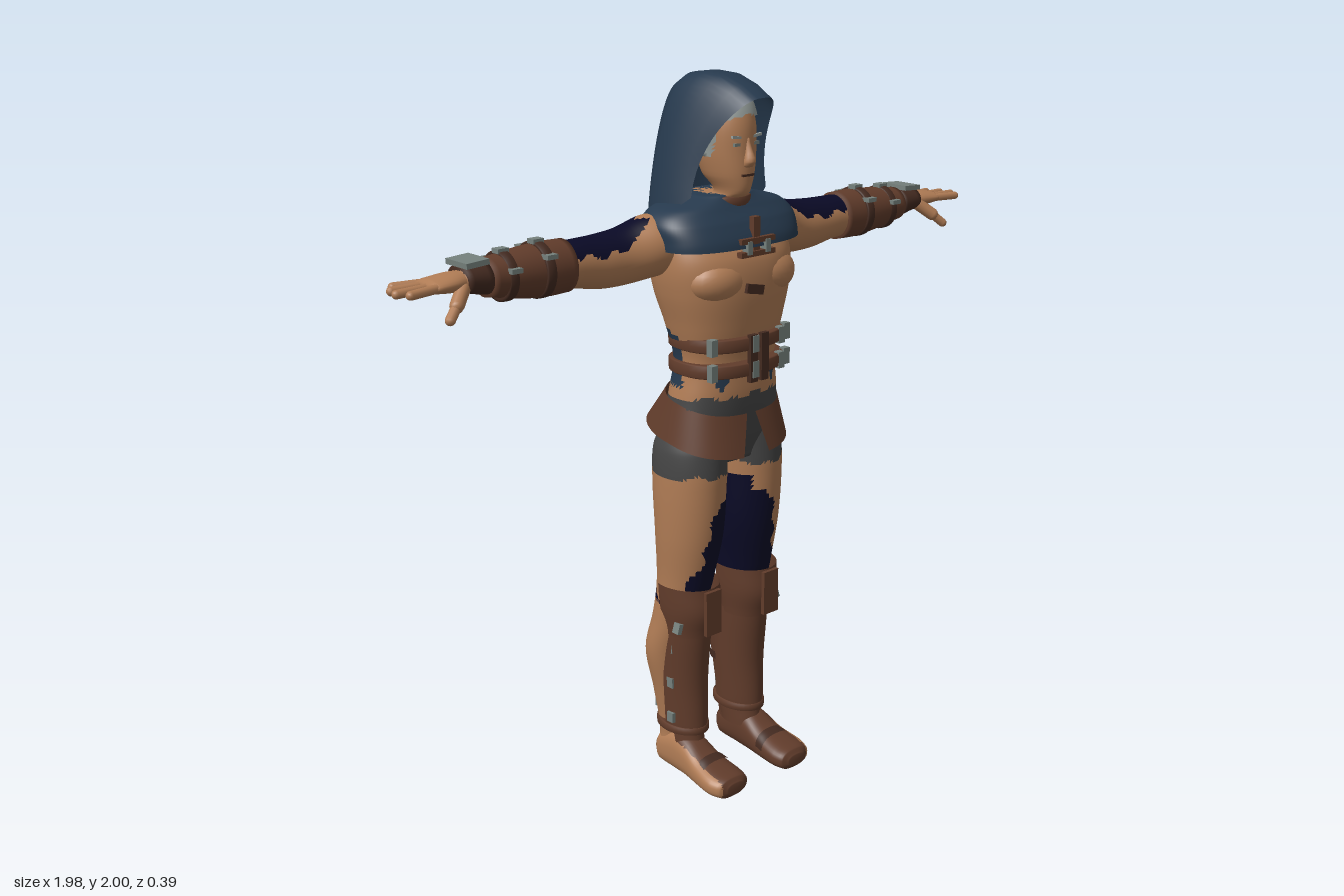
import * as THREE from 'three';

const mat = (name, color, side = THREE.FrontSide) => new THREE.MeshStandardMaterial({ name, color, side });
const skin = mat('skin', 0xb07c55);
const hoodBlue = mat('hood blue', 0x26394d, THREE.DoubleSide);
const indigo = mat('dark indigo', 0x0a0a26);
const leather = mat('leather', 0x613c2b, THREE.DoubleSide);
const darkLeather = mat('dark leather', 0x432a20);
const grey = mat('grey cloth', 0x454545);
const metal = mat('metal', 0x75807c);
const hairGrey = mat('hair grey', 0x939b98);

const ragged = (t) => Math.sin(t * 90) * 0.6 + Math.sin(t * 41 + 1) * 0.4;

// Triangles from a grid of points; pick(x, y, z) gives a material index, or -1 for a hole
function skinGrid(rows, closed, caps, pick) {
  const pos = rows.flat(2), n = rows[0].length, m = rows.length, lists = [];
  const tri = (a, b, c) => {
    const mid = [0, 1, 2].map((k) => (pos[a * 3 + k] + pos[b * 3 + k] + pos[c * 3 + k]) / 3);
    const k = pick ? pick(...mid) : 0;
    if (k >= 0) (lists[k] ??= []).push(a, b, c);
  };
  for (let i = 0; i < m - 1; i++) for (let j = 0; j < (closed ? n : n - 1); j++) {
    const a = i * n + j, b = i * n + (j + 1) % n;
    tri(a, a + n, b);
    tri(b, a + n, b + n);
  }
  if (caps) [0, m - 1].forEach((i) => {
    const c = pos.length / 3;
    pos.push(...[0, 1, 2].map((k) => rows[i].reduce((s, p) => s + p[k], 0) / n));
    for (let j = 0; j < n; j++) {
      const a = i * n + j, b = i * n + (j + 1) % n;
      i ? tri(c, b, a) : tri(c, a, b);
    }
  });
  const g = new THREE.BufferGeometry(), index = [];
  g.setAttribute('position', new THREE.Float32BufferAttribute(pos, 3));
  lists.forEach((l, k) => {
    g.addGroup(index.length, l.length, k);
    for (const v of l) index.push(v);
  });
  g.setIndex(index);
  g.computeVertexNormals();
  return g;
}

// Smooth loft through keys [t, c1, c2, r1, r2] along an axis (0 x, 1 y, 2 z)
function loft(keys, { axis = 1, n = 36, sub = 5, arc = null, pick = null, p = 2 } = {}) {
  const rows = [], last = keys.length - 1;
  const at = (i) => keys[Math.min(last, Math.max(0, i))];
  for (let s = 0; s <= last * sub; s++) {
    const i = Math.min(last - 1, Math.floor(s / sub)), f = s / sub - i;
    const [t, c1, c2, r1, r2] = at(i).map((b, k) => {
      if (k === 0) return b + (at(i + 1)[0] - b) * f;
      const a = at(i - 1)[k], c = at(i + 1)[k], d = at(i + 2)[k];
      return b + 0.5 * f * (c - a + f * (2 * a - 5 * b + 4 * c - d + f * (3 * (b - c) + d - a)));
    });
    const row = [], [a0, a1] = arc ?? [0, Math.PI * 2];
    for (let j = 0; j < (arc ? n + 1 : n); j++) {
      const a = a0 + (a1 - a0) * j / n, c = Math.cos(a), q = Math.sin(a), pt = [0, 0, 0];
      pt[axis] = t;
      pt[(axis + 2) % 3] = c1 + r1 * Math.sign(c) * Math.abs(c) ** (2 / p);
      pt[(axis + 1) % 3] = c2 + r2 * Math.sign(q) * Math.abs(q) ** (2 / p);
      row.push(pt);
    }
    rows.push(row);
  }
  return skinGrid(rows, !arc, !arc, pick);
}

// Closed band with a rounded edge
const band = (t, h, c1, c2, r1, r2, axis = 1, p = 2) => loft([[t - h, c1, c2, r1 - 0.006, r2 - 0.006],
  [t - h * 0.8, c1, c2, r1, r2], [t + h * 0.8, c1, c2, r1, r2], [t + h, c1, c2, r1 - 0.006, r2 - 0.006]], { axis, sub: 2, p });
const box = (w, h, d, x, y, z, rz = 0) => new THREE.BoxGeometry(w, h, d).rotateZ(rz).translate(x, y, z);
const ball = (x, y, z, a, b, c) => new THREE.SphereGeometry(1, 24, 16).scale(a, b, c).translate(x, y, z);
function rod(a, b, r) {
  const A = new THREE.Vector3(...a), d = new THREE.Vector3(...b).sub(A), g = new THREE.CapsuleGeometry(r, d.length(), 4, 10);
  g.applyQuaternion(new THREE.Quaternion().setFromUnitVectors(new THREE.Vector3(0, 1, 0), d.clone().normalize()));
  return g.translate(...A.addScaledVector(d, 0.5).toArray());
}
function mirrored(g) {
  const m = g.clone().scale(-1, 1, 1), ix = m.index;
  for (let i = 0; i < ix.count; i += 3) {
    const t = ix.getX(i);
    ix.setX(i, ix.getX(i + 1));
    ix.setX(i + 1, t);
  }
  return m;
}

export function createModel() {
  const root = new THREE.Group();
  root.name = 'hoodedFigure';
  const add = (name, g, m) => {
    const mesh = new THREE.Mesh(g, m);
    mesh.name = name;
    root.add(mesh);
  };
  const pair = (name, g, m) => {
    add(name + 'Left', g, m);
    add(name + 'Right', mirrored(g), m);
  };

  // Torso with grey shorts and torn shirt remains
  add('torso', loft([[0.96, 0, 0, 0.13, 0.08], [1.04, 0, -0.005, 0.178, 0.108], [1.15, 0, 0.01, 0.163, 0.108],
    [1.25, 0, 0.017, 0.15, 0.103], [1.35, 0, 0.015, 0.172, 0.122], [1.45, 0, 0.006, 0.198, 0.142],
    [1.53, 0, 0, 0.205, 0.14], [1.6, 0, -0.015, 0.19, 0.115], [1.65, 0, -0.025, 0.12, 0.085], [1.69, 0, -0.015, 0.06, 0.06]], {
    n: 64, sub: 8, p: 2.4,
    pick: (x, y, z) => {
      if (y < 1.155 + 0.01 * ragged(x)) return 1;
      if (z < 0.02 && y > 1.18 && y < 1.33 + 0.02 * ragged(x + z)) return 2;
      return z > 0 && y < 1.25 && y > 1.17 + Math.abs(Math.abs(x) - 0.09) * 2 ? 2 : 0;
    },
  }), [skin, grey, hoodBlue]);
  pair('chestMuscle', ball(0.085, 1.475, 0.08, 0.095, 0.065, 0.07), skin);

  // Head, face and hair
  add('head', loft([[1.6, 0, -0.015, 0.06, 0.06], [1.67, 0, 0.005, 0.056, 0.06], [1.695, 0, 0.045, 0.04, 0.055],
    [1.74, 0, 0.03, 0.06, 0.079], [1.8, 0, 0.02, 0.073, 0.089], [1.87, 0, 0.015, 0.075, 0.092],
    [1.93, 0, 0.01, 0.062, 0.078], [1.96, 0, 0.01, 0.03, 0.04]]), skin);
  add('hair', loft([[1.79, 0, 0.01, 0.078, 0.092], [1.87, 0, 0.014, 0.081, 0.099], [1.93, 0, 0.01, 0.068, 0.087],
    [1.967, 0, 0.01, 0.03, 0.045]], {
    n: 48, sub: 8, pick: (x, y, z) => (z > 0.02 && y < 1.9 - Math.abs(x) * 0.25 && Math.abs(x) < 0.071 ? -1 : 0),
  }), hairGrey);
  add('nose', loft([[1.765, 0, 0.105, 0.014, 0.014], [1.78, 0, 0.112, 0.016, 0.02], [1.81, 0, 0.108, 0.009, 0.012],
    [1.84, 0, 0.1, 0.007, 0.009]], { n: 12, sub: 3 }), skin);
  add('mouth', box(0.04, 0.006, 0.008, 0, 1.743, 0.106), darkLeather);
  pair('eye', box(0.024, 0.008, 0.008, 0.031, 1.823, 0.1), metal);
  pair('eyebrow', box(0.036, 0.007, 0.008, 0.033, 1.842, 0.101, 0.12), hairGrey);

  // Hood: arches from the front rim to the back seam [topY, topZ, bottomY, bottomZ, halfWidth]
  const arches = [[1.945, 0.165, 1.69, 0.035, 0.098], [1.975, 0.11, 1.67, 0.01, 0.108], [1.997, 0.04, 1.655, -0.03, 0.116],
    [2, -0.03, 1.645, -0.07, 0.118], [1.992, -0.09, 1.64, -0.11, 0.112], [1.965, -0.14, 1.64, -0.15, 0.09],
    [1.925, -0.16, 1.64, -0.17, 0.055], [1.89, -0.168, 1.64, -0.18, 0.0]];
  add('hood', skinGrid(arches.map(([ty, tz, by, bz, w]) => Array.from({ length: 33 }, (_, j) => {
    const a = Math.PI * j / 32, v = Math.sin(a) ** 0.85, c = Math.cos(a);
    return [w * Math.sign(c) * Math.abs(c) ** 0.7 * (1 + 0.36 * (1 - v) ** 1.3), by + (ty - by) * v, bz + (tz - bz) * v ** 2.2];
  })), false, false), hoodBlue);

  // Shoulder mantle with a torn hem at the back
  add('mantle', loft([[1.53, 0, 0.005, 0.222, 0.142], [1.58, 0, 0, 0.226, 0.14], [1.625, 0, -0.01, 0.226, 0.125],
    [1.66, 0, -0.015, 0.19, 0.1], [1.69, 0, -0.01, 0.085, 0.075]], {
    n: 80, sub: 8, p: 2.8, pick: (x, y, z) => (y < (z > 0 ? 1.563 : 1.59 + 0.025 * ragged(x * 0.7)) ? -1 : 0),
  }), hoodBlue);
  add('collar', band(1.672, 0.014, 0, 0.01, 0.075, 0.075), leather);
  add('claspStrap', box(0.022, 0.1, 0.018, 0, 1.59, 0.134), leather);
  [1.545, 1.58].forEach((y) => add('claspBar', box(0.12, 0.014, 0.02, 0, y, 0.14), leather));
  pair('claspStud', box(0.016, 0.035, 0.022, 0.032, 1.562, 0.142), metal);
  add('chestScrap', box(0.06, 0.025, 0.012, -0.015, 1.452, 0.15, -0.2), darkLeather);

  // Belts with buckles
  [1.235, 1.305].forEach((y) => {
    add('belt', band(y, 0.019, 0, 0.024, 0.162, 0.127, 1, 2.4), leather);
    [-0.13, -0.015, 0.1, 0.14].forEach((x) => add('buckle', box(0.022, 0.045, 0.02, x, y, 0.15 - x * x * 2.2), metal));
  });
  pair('beltLoop', box(0.026, 0.13, 0.014, 0.02, 1.265, 0.15), darkLeather);

  // Flared leather skirt, split at the front
  add('skirt', skinGrid(Array.from({ length: 9 }, (_, i) => Array.from({ length: 65 }, (_, j) => {
    const f = i / 8, a = Math.PI / 2 + (0.05 + 0.12 * (1 - f)) + (Math.PI * 2 - 0.1 - 0.24 * (1 - f)) * j / 64;
    const c = Math.cos(a), s = Math.sin(a), lo = 1.03 - 0.04 * s, hi = 1.14 - 0.035 * s;
    const rx = 0.192 - 0.025 * f, rz = (s > 0 ? 0.15 : 0.192) - (s > 0 ? 0.025 : 0.09) * f;
    return [rx * Math.sign(c) * Math.abs(c) ** 0.8, lo + (hi - lo) * f, rz * Math.sign(s) * Math.abs(s) ** 0.85];
  })), false, false).scale(1, 1, 1), leather);

  // Arms with torn sleeves
  pair('arm', loft([[0.13, -0.035, 1.565, 0.08, 0.075], [0.21, -0.045, 1.565, 0.085, 0.082], [0.3, -0.055, 1.548, 0.071, 0.075],
    [0.38, -0.055, 1.545, 0.066, 0.07], [0.46, -0.05, 1.552, 0.06, 0.062], [0.58, -0.048, 1.555, 0.058, 0.058],
    [0.7, -0.042, 1.56, 0.045, 0.042], [0.8, -0.04, 1.565, 0.04, 0.026]], {
    axis: 0, n: 48, sub: 8,
    pick: (x, y, z) => (x > 0.28 + 0.025 * ragged(z) - (y - 1.6) && x < 0.5 && y > 1.575 + 0.012 * ragged(x) ? 1 : 0),
  }), [skin, indigo]);
  pair('forearmGuard', loft([[0.485, -0.05, 1.553, 0.066, 0.068], [0.56, -0.05, 1.553, 0.068, 0.069],
    [0.65, -0.046, 1.556, 0.062, 0.06], [0.73, -0.042, 1.56, 0.053, 0.048]], { axis: 0 }), leather);
  pair('wristGuard', loft([[0.73, -0.04, 1.562, 0.048, 0.042], [0.8, -0.04, 1.568, 0.048, 0.034]], { axis: 0 }), darkLeather);
  [[0.57, 0.072], [0.675, 0.063]].forEach(([x, r]) => {
    pair('armStrap', band(x, 0.014, -0.047, 1.556, r, r, 0), darkLeather);
    [-0.1, -0.045, 0.012].forEach((z) => pair('armBuckle',
      box(0.032, 0.012, 0.026, x, 1.556 + Math.sqrt(Math.max(0, r * r - (z + 0.047) ** 2)), z), metal));
  });
  pair('wristPlate', box(0.065, 0.014, 0.09, 0.77, 1.606, -0.045, -0.06), metal);

  // Hands
  pair('palm', loft([[0.79, -0.04, 1.565, 0.035, 0.024], [0.83, -0.042, 1.564, 0.046, 0.024], [0.88, -0.044, 1.563, 0.05, 0.018],
    [0.9, -0.044, 1.562, 0.042, 0.012]], { axis: 0, n: 24 }), skin);
  [[-0.081, 0.945, -0.1], [-0.057, 0.97, -0.066], [-0.032, 0.978, -0.03], [-0.008, 0.96, 0.002]].forEach(([z, x, z2]) =>
    pair('finger', rod([0.885, 1.563, z], [x, 1.561, z2], 0.0115), skin));
  pair('thumbBase', rod([0.81, 1.55, -0.01], [0.845, 1.52, 0.015], 0.018), skin);
  pair('thumb', rod([0.845, 1.52, 0.015], [0.875, 1.493, 0.03], 0.013), skin);

  // Legs with shorts, torn trousers and inner boot leather
  pair('leg', loft([[0.05, 0.12, -0.075, 0.04, 0.042], [0.12, 0.115, -0.075, 0.04, 0.042], [0.25, 0.117, -0.078, 0.055, 0.055],
    [0.38, 0.122, -0.078, 0.074, 0.068], [0.5, 0.118, -0.045, 0.073, 0.073], [0.6, 0.112, -0.025, 0.074, 0.085],
    [0.75, 0.106, -0.012, 0.09, 0.102], [0.9, 0.105, -0.01, 0.095, 0.112], [1.0, 0.1, -0.01, 0.094, 0.112],
    [1.08, 0.085, 0, 0.08, 0.095]], {
    n: 64, sub: 10,
    pick: (x, y, z) => {
      const u = x - 0.108, r = 0.014 * ragged(y * 0.8), inBack = z < -0.03 + r && u < 0.045 + r;
      if (y > 0.935 + 0.01 * ragged(x)) return inBack ? 2 : 1;
      if (y > 0.54 + 0.03 * ragged(x * 0.5)) {
        const front = y < 0.86 && u < 0.055 - (y - 0.6) * 0.28 + r && u > -0.09;
        return inBack || front || (u < -0.06 && y < 0.9) ? 2 : 0;
      }
      return u < 0.01 && y < 0.52 ? 3 : 0;
    },
  }), [skin, grey, indigo, leather]);

  // Knee and shin guards
  pair('kneeGuard', loft([[0.455, 0.11, -0.01, 0.072, 0.08], [0.53, 0.11, -0.015, 0.082, 0.105], [0.605, 0.11, -0.02, 0.085, 0.105]],
    { arc: [-0.25, Math.PI + 0.3] }), leather);
  pair('kneeRidge', box(0.055, 0.13, 0.012, 0.11, 0.535, 0.09), leather);
  pair('shinGuard', loft([[0.14, 0.11, -0.04, 0.058, 0.085], [0.17, 0.11, -0.04, 0.06, 0.085], [0.3, 0.11, -0.04, 0.066, 0.082],
    [0.47, 0.11, -0.035, 0.072, 0.09]], { arc: [-0.1, Math.PI + 0.5] }), leather);
  pair('shinHem', band(0.15, 0.012, 0.11, -0.04, 0.064, 0.088), leather);
  pair('kneeBuckle', box(0.014, 0.03, 0.024, 0.187, 0.49, 0.03, 0.3), metal);
  [[0.18, 0.05, 0.049], [0.29, 0.066, 0.064], [0.4, 0.076, 0.07]].forEach(([y, rx, rz]) => {
    pair('calfStrap', loft([[y - 0.012, 0.118, -0.078, rx, rz], [y + 0.012, 0.118, -0.078, rx, rz]],
      { arc: [Math.PI * 0.75, Math.PI * 1.5] }), darkLeather);
    pair('calfBuckle', box(0.024, 0.026, 0.022, 0.118, y, -0.08 - rz), metal);
    pair('shinBuckle', box(0.014, 0.03, 0.024, 0.17, y + 0.01, -0.02), metal);
  });

  // Feet, leather over the instep and bare at the outside and heel
  pair('foot', loft([[-0.125, 0.045, 0.12, 0.03, 0.022], [-0.1, 0.056, 0.12, 0.05, 0.04], [-0.03, 0.066, 0.12, 0.064, 0.045],
    [0.02, 0.062, 0.12, 0.06, 0.05], [0.08, 0.046, 0.122, 0.044, 0.057], [0.15, 0.037, 0.124, 0.035, 0.064],
    [0.188, 0.034, 0.122, 0.03, 0.054], [0.2, 0.032, 0.12, 0.016, 0.03]], {
    axis: 2, n: 40, p: 2.5, pick: (x, y, z) => (x < 0.11 || (x < 0.16 && y > 0.05 && z > -0.02) || (z > 0.1 && x < 0.165) ? 1 : 0),
  }), [skin, leather]);
  pair('ankleCuff', loft([[0.085, 0.112, -0.03, 0.05, 0.07], [0.145, 0.112, -0.045, 0.052, 0.075]], { arc: [0.3, Math.PI + 0.6] }), leather);
  pair('toeStrap', loft([[0.085, 0.045, 0.118, 0.047, 0.056], [0.115, 0.042, 0.118, 0.043, 0.06]],
    { axis: 2, arc: [-1.5, 1.2], p: 2.5 }), darkLeather);

  return root;
}
